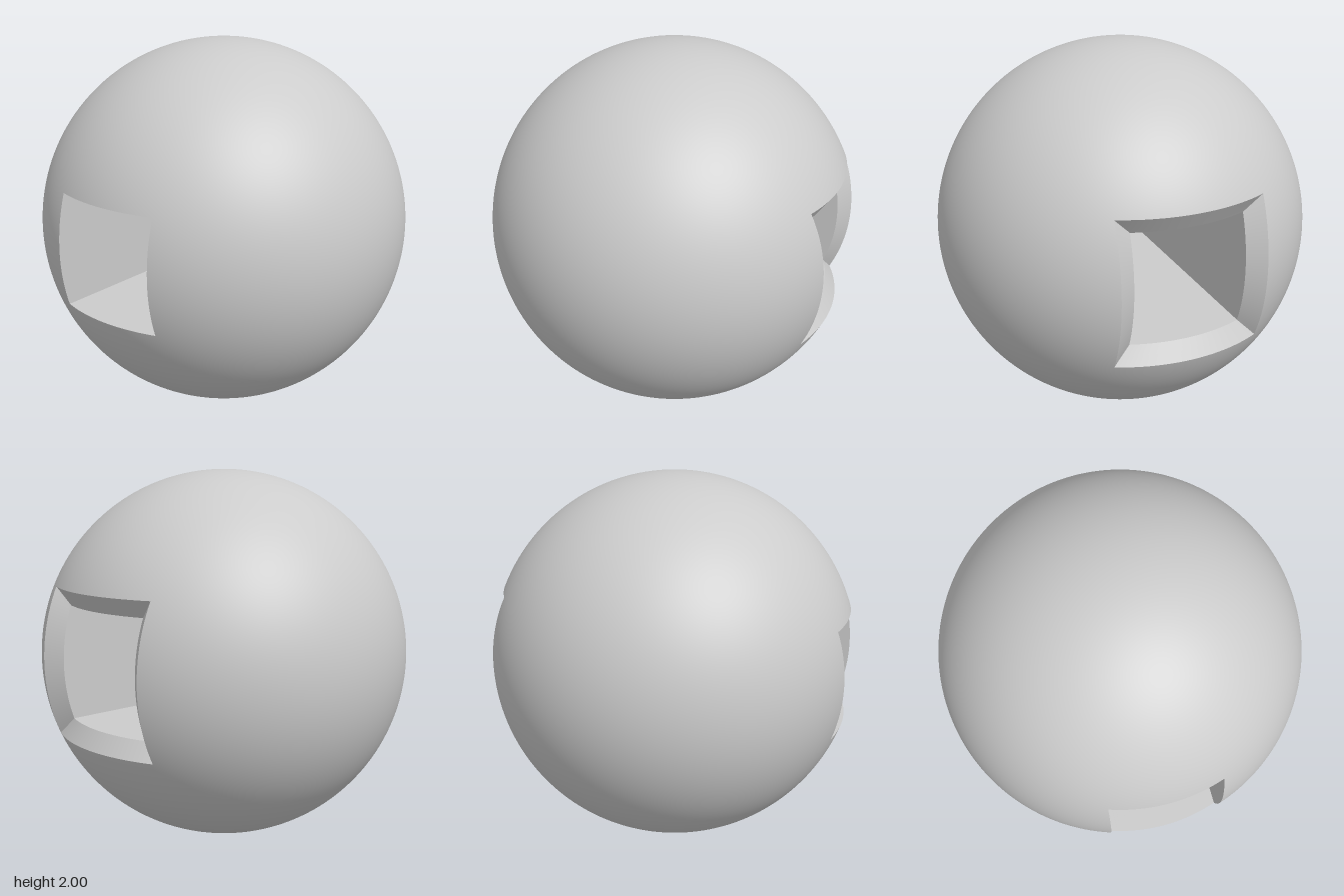
import * as THREE from 'three';
import { toCreasedNormals } from 'three/addons/utils/BufferGeometryUtils.js';

const AROUND = 160; // multiple of 8, so the square's corners fall on vertices
const HOLE = 0.303; // half width of the tunnel
const RIM = 0.395; // half width of the bevel's outer edge
const INNER = 0.91; // radius on which the bevel's inner edge lies
const SHIFT = 0.0165; // centres the body on x

// Distance from the tunnel axis to a square outline in direction a
const square = (half, a) => half / Math.max(Math.abs(Math.cos(a)), Math.abs(Math.sin(a)));

// Point at a distance r from the x axis, in direction a
const point = (x, r, a) => new THREE.Vector3(x, r * Math.cos(a), r * Math.sin(a));

// Point where a square outline meets a sphere, on the +x or -x side
function onSphere(radius, half, a, side) {
  const r = square(half, a);
  return point(side * Math.sqrt(radius * radius - r * r), r, a);
}

// Skin of closed rings around the x axis; at(t, a) gives each point
function loft(steps, at) {
  const pos = [], index = [], row = AROUND + 1;
  for (let j = 0; j <= steps; j++) {
    for (let i = 0; i <= AROUND; i++) {
      pos.push(...at(j / steps, ((i % AROUND) / AROUND) * Math.PI * 2).toArray());
      if (j === steps || i === AROUND) continue;
      const k = j * row + i;
      index.push(k, k + 1, k + row + 1, k, k + row + 1, k + row);
    }
  }
  const geo = new THREE.BufferGeometry();
  geo.setAttribute('position', new THREE.Float32BufferAttribute(pos, 3));
  geo.setIndex(index);
  return geo;
}

export function createModel() {
  const group = new THREE.Group();
  const material = new THREE.MeshStandardMaterial({ color: 0xcccccc });
  const add = (name, geo) => {
    const mesh = new THREE.Mesh(geo, material);
    mesh.name = name;
    mesh.position.set(SHIFT, 1, 0);
    group.add(mesh);
  };

  // Ball surface, running from the plain opening (-x) to the bevelled one (+x)
  const ball = loft(96, (t, a) => {
    const start = Math.PI - Math.asin(square(HOLE, a));
    const end = Math.asin(square(RIM, a));
    const angle = THREE.MathUtils.lerp(start, end, t);
    return point(Math.cos(angle), Math.sin(angle), a);
  });
  ball.setAttribute('normal', ball.getAttribute('position').clone());
  add('ball', ball);

  // Bevel leading into the tunnel
  const bevel = loft(2, (t, a) =>
    onSphere(1, RIM, a, 1).lerp(onSphere(INNER, HOLE, a, 1), t));
  add('bevel', toCreasedNormals(bevel, Math.PI / 6));

  // Square tunnel through the ball
  const tunnel = loft(1, (t, a) =>
    onSphere(INNER, HOLE, a, 1).lerp(onSphere(1, HOLE, a, -1), t));
  add('tunnel', toCreasedNormals(tunnel, Math.PI / 6));

  return group;
}
